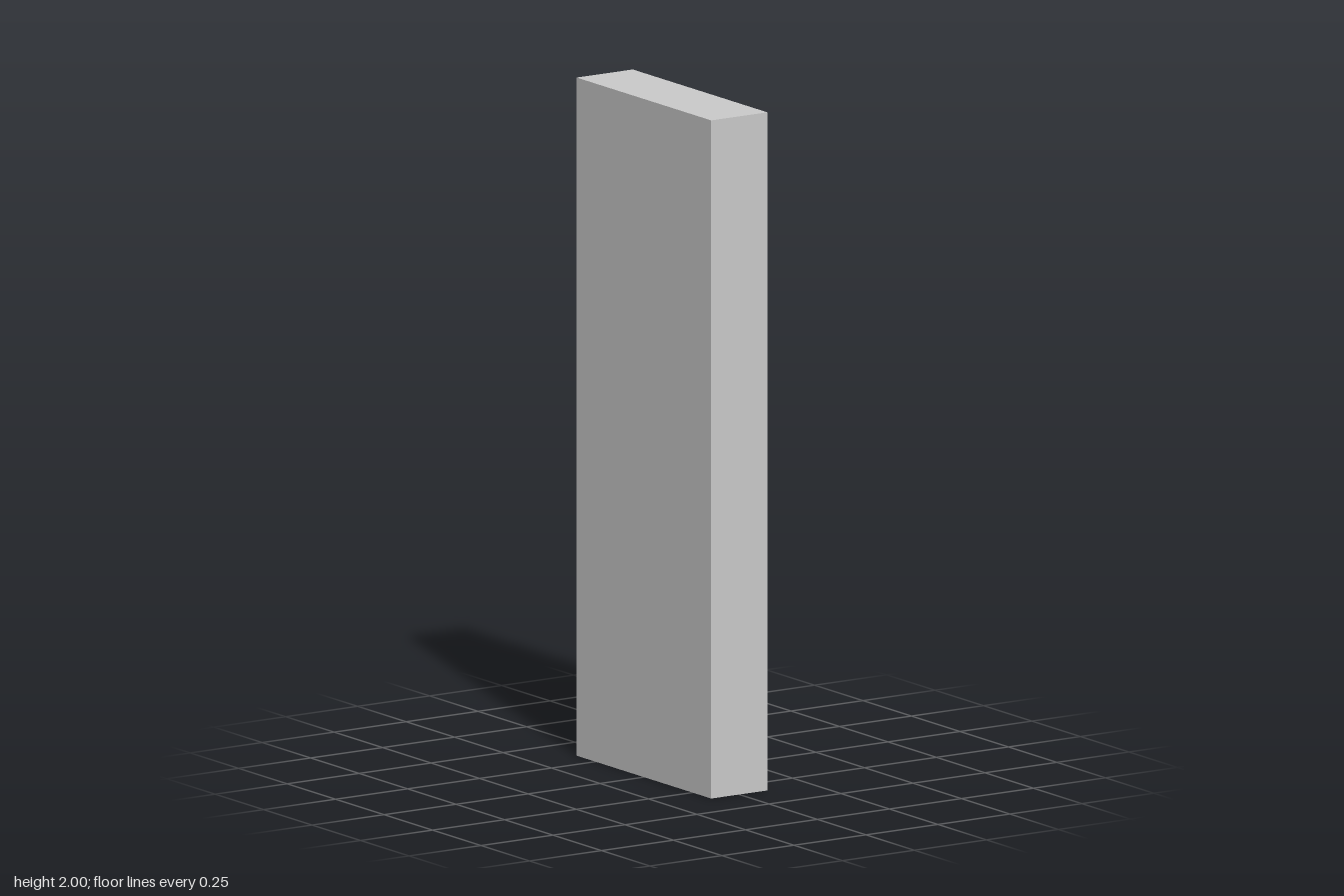
import * as THREE from 'three';

const W = 0.195;      // overall thickness in x
const HALF = 0.347;   // half width in z
const HEIGHT = 2;
const DEPTH = 0.167;  // depth of the open compartments
const EDGE = 0.332;   // inner face of the side walls

// Open compartments: [z min, z max, y min, y max]
const compartments = [
  [-EDGE, EDGE, 1.733, 1.985],
  [0.098, EDGE, 1.164, 1.705],
  [-EDGE, 0.066, 1.444, 1.705],
  [-EDGE, 0.066, 1.164, 1.418],
  [-0.066, EDGE, 0.878, 1.135],
  [-EDGE, -0.098, 0.878, 1.135],
  [-EDGE, EDGE, 0.594, 0.848],
];

function rectangle(PathType, z0, z1, y0, y1) {
  // the profile runs along -z, so it faces +x once turned
  return new PathType([
    new THREE.Vector2(-z1, y0),
    new THREE.Vector2(-z0, y0),
    new THREE.Vector2(-z0, y1),
    new THREE.Vector2(-z1, y1),
  ]);
}

export function createModel() {
  const group = new THREE.Group();
  group.name = 'bookcase';
  const material = new THREE.MeshStandardMaterial({ color: 0xcccccc });

  // Shelves, dividers, side walls and closed base as one pierced slab
  const outline = rectangle(THREE.Shape, -HALF, HALF, 0, HEIGHT);
  for (const c of compartments) outline.holes.push(rectangle(THREE.Path, ...c));
  const frameGeometry = new THREE.ExtrudeGeometry(outline, { depth: DEPTH, bevelEnabled: false });
  frameGeometry.rotateY(Math.PI / 2);
  const frame = new THREE.Mesh(frameGeometry, material);
  frame.name = 'shelfFrame';
  frame.position.x = W / 2 - DEPTH;
  group.add(frame);

  // Back panel closing the compartments
  const thickness = W - DEPTH;
  const back = new THREE.Mesh(new THREE.BoxGeometry(thickness, HEIGHT, HALF * 2), material);
  back.name = 'backPanel';
  back.position.set(-W / 2 + thickness / 2, HEIGHT / 2, 0);
  group.add(back);

  return group;
}
